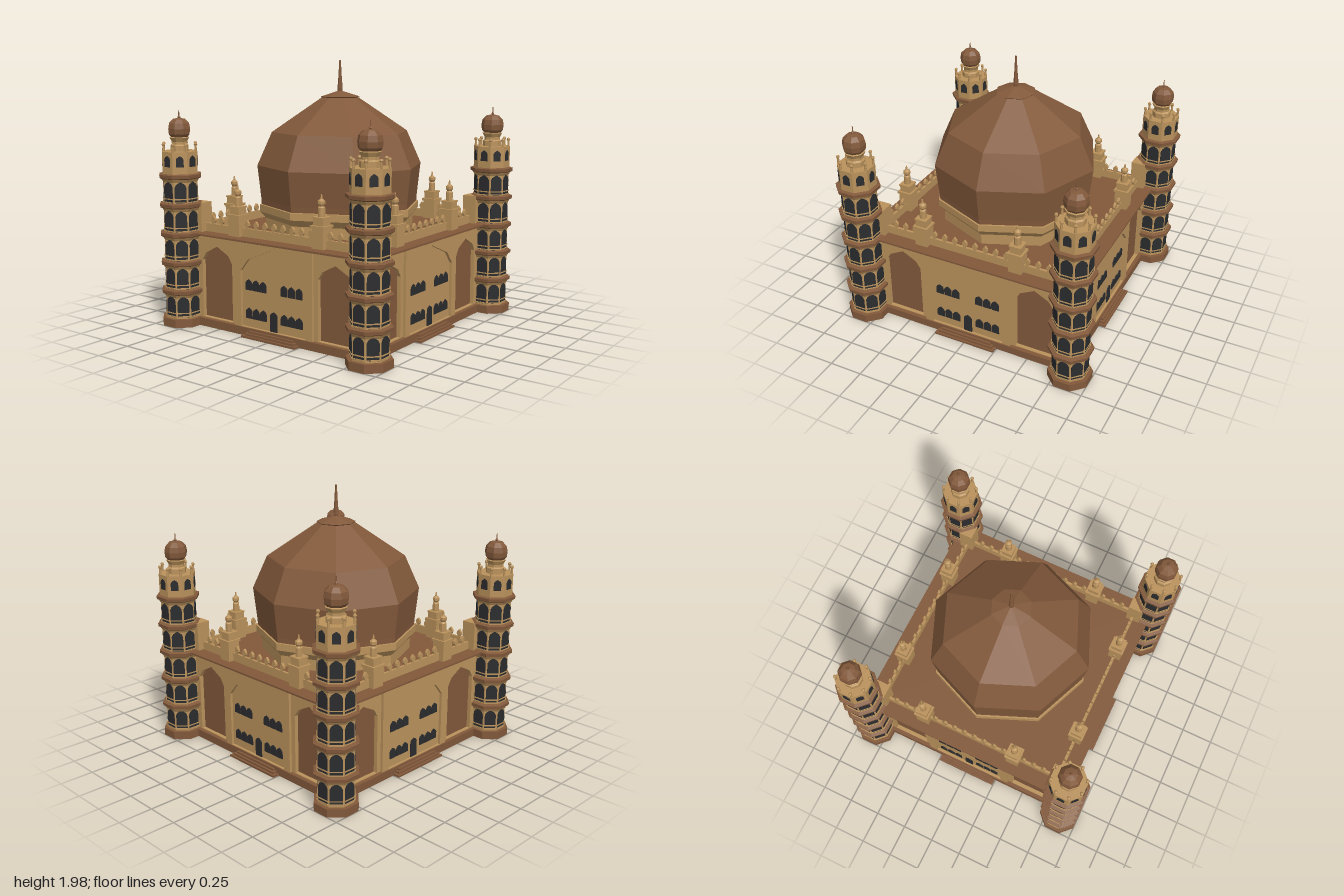
import * as THREE from 'three';

const mat = (name, color) => new THREE.MeshStandardMaterial({ name, color, flatShading: true });
const tan = mat('sandstone', 0xba925c);
const brown = mat('brownStone', 0x82593b);
const dark = mat('darkOpening', 0x2b2c2e);

function add(parent, name, geo, material, x = 0, y = 0, z = 0) {
  const m = new THREE.Mesh(geo, material);
  m.name = name;
  m.position.set(x, y, z);
  parent.add(m);
  return m;
}

// Box given by its base height and top height
function block(parent, name, material, w, y0, y1, d, x = 0, z = 0) {
  return add(parent, name, new THREE.BoxGeometry(w, y1 - y0, d), material, x, (y0 + y1) / 2, z);
}

// Eight-sided turned form; points are [apothem, y] with flats on the axes,
// or [radius, y] with corners on the axes
function octagon(points, flats = true) {
  const k = flats ? 1 / Math.cos(Math.PI / 8) : 1;
  const pts = points.map(([r, y]) => new THREE.Vector2(r * k, y));
  return new THREE.LatheGeometry(pts, 8, flats ? Math.PI / 8 : 0);
}

// Pointed arch outline: half width w, foot y0, spring ys, tip yt
function archPoints(cx, w, y0, ys, yt) {
  const ym = ys + (yt - ys) * 0.5;
  return [[-w, y0], [w, y0], [w, ys], [w * 0.75, ym], [0, yt], [-w * 0.75, ym], [-w, ys]]
    .map(([x, y]) => new THREE.Vector2(cx + x, y));
}
const extrude = (shape, depth) => new THREE.ExtrudeGeometry(shape, { depth, bevelEnabled: false });
const archPlate = (w, y0, ys, yt, d = 0.006) => extrude(new THREE.Shape(archPoints(0, w, y0, ys, yt)), d);

// Rectangular wall with arched holes
function archedWall(halfW, y0, y1, depth, arches) {
  const s = new THREE.Shape([[-halfW, y0], [halfW, y0], [halfW, y1], [-halfW, y1]]
    .map(([x, y]) => new THREE.Vector2(x, y)));
  arches.forEach(a => s.holes.push(new THREE.Path(archPoints(...a))));
  return extrude(s, depth);
}

function makeTower() {
  const t = new THREE.Group();
  t.name = 'cornerTower';
  const R = 0.15 / Math.cos(Math.PI / 8);
  const base = new THREE.CylinderGeometry(R, R, 0.06, 8).rotateY(Math.PI / 8);
  add(t, 'towerBase', base, [brown, brown, dark], 0, 0.03, 0);
  add(t, 'towerShaft', octagon([[0.123, 0.06], [0.123, 1.13], [0.128, 1.14], [0.128, 1.31], [0, 1.31]]), tan);

  // Five storeys of windows with railings and a projecting ledge
  const win = archPlate(0.043, 0.012, 0.13, 0.172);
  const rail = new THREE.BoxGeometry(0.1, 0.008, 0.012);
  const ledge = octagon([[0.122, -0.028], [0.15, -0.012], [0.152, 0.012], [0.122, 0.02]]);
  const corbel = octagon([[0.122, -0.045], [0.136, -0.02], [0.122, -0.018]]);
  for (let s = 0; s < 5; s++) {
    const y = 0.06 + s * 0.215;
    add(t, 'ledge', ledge, brown, 0, 0.263 + s * 0.2165, 0);
    add(t, 'corbel', corbel, tan, 0, 0.263 + s * 0.2165, 0);
    for (let f = 0; f < 8; f++) {
      const side = new THREE.Group();
      side.name = 'storeyFace';
      side.rotation.y = f * Math.PI / 4;
      add(side, 'towerWindow', win, dark, 0, y, 0.12);
      add(side, 'lowerRail', rail, tan, 0, y + 0.018, 0.124);
      add(side, 'upperRail', rail, tan, 0, y + 0.043, 0.124);
      t.add(side);
    }
  }

  // Top storey with small windows and corner posts
  const topWin = archPlate(0.028, 1.2, 1.255, 1.283);
  const post = new THREE.CylinderGeometry(0.008, 0.01, 0.06, 6);
  const ball = new THREE.SphereGeometry(0.014, 6, 4);
  for (let f = 0; f < 8; f++) {
    const a = f * Math.PI / 4;
    add(t, 'topWindow', topWin, dark, Math.sin(a) * 0.125, 0, Math.cos(a) * 0.125).rotation.y = a;
    const b = a + Math.PI / 8, x = Math.sin(b) * 0.126, z = Math.cos(b) * 0.126;
    add(t, 'cornerPost', post, tan, x, 1.33, z);
    add(t, 'postBall', ball, tan, x, 1.362, z);
  }
  add(t, 'neck', octagon([[0.066, 1.31], [0.066, 1.35], [0.055, 1.36], [0.055, 1.38], [0.07, 1.41], [0.05, 1.42]]), tan);
  add(t, 'towerDome', octagon([[0.05, 1.4], [0.075, 1.435], [0.079, 1.475], [0.072, 1.515], [0.045, 1.545], [0, 1.555]]), brown);
  add(t, 'towerFinial', new THREE.LatheGeometry([[0.01, 1.55], [0.012, 1.56], [0.005, 1.57], [0.003, 1.61], [0, 1.61]]
    .map(p => new THREE.Vector2(...p)), 6), brown);
  return t;
}

function makeTurret() {
  const g = new THREE.Group();
  g.name = 'parapetTurret';
  block(g, 'turretBase', tan, 0.1, 0.7, 0.85, 0.1);
  block(g, 'turretCap', tan, 0.116, 0.85, 0.868, 0.116);
  block(g, 'turretBlock', tan, 0.084, 0.868, 0.915, 0.084);
  block(g, 'turretTop', tan, 0.094, 0.915, 0.927, 0.094);
  add(g, 'turretPinnacle', octagon([[0.024, 0.927], [0.024, 0.99], [0.016, 1.0], [0.025, 1.015],
    [0.025, 1.035], [0.008, 1.05], [0.004, 1.08], [0, 1.08]]), tan);
  return g;
}

function makeSide() {
  const g = new THREE.Group();
  g.name = 'facade';
  add(g, 'wall', archedWall(0.8, 0.06, 0.7, 0.03,
    [-0.54, 0.54].map(x => [x, 0.147, 0.065, 0.5, 0.615])), tan, 0, 0, 0.77);
  add(g, 'centralBay', archedWall(0.356, 0.06, 0.698, 0.02, [[0, 0.293, 0.062, 0.475, 0.655]]), tan, 0, 0, 0.8);

  // Window trios and door
  const win = archPlate(0.03, 0, 0.05, 0.08);
  for (const sx of [-1, 1]) for (const y of [0.125, 0.335]) for (let i = -1; i <= 1; i++)
    add(g, 'window', win, dark, sx * 0.163 + i * 0.067, y, 0.8);
  add(g, 'door', archPlate(0.033, 0.06, 0.18, 0.207), dark, 0, 0, 0.8);

  // Steps
  for (let i = 0; i < 3; i++) {
    const d = 0.1 - i * 0.016;
    block(g, 'step', [brown, brown, brown, dark, brown, brown], 0.49 - i * 0.04, i * 0.015, (i + 1) * 0.015, d, 0, 0.78 + d / 2);
  }

  // Parapet, merlons and turrets
  block(g, 'parapet', tan, 1.48, 0.7, 0.77, 0.02, 0, 0.74);
  const merlon = extrude(new THREE.Shape([[-0.011, 0], [0.011, 0], [0.011, 0.01], [0.02, 0.022], [0.018, 0.04],
    [0, 0.062], [-0.018, 0.04], [-0.02, 0.022], [-0.011, 0.01]].map(p => new THREE.Vector2(...p))), 0.018);
  for (let i = 0; i < 16; i++) {
    const x = (i - 7.5) * 0.083;
    if (Math.abs(Math.abs(x) - 0.38) > 0.065) add(g, 'merlon', merlon, tan, x, 0.768, 0.731);
  }
  for (const sx of [-1, 1]) {
    const t = makeTurret();
    t.position.set(sx * 0.38, 0, 0.74);
    g.add(t);
  }
  block(g, 'cornerBlock', tan, 0.11, 0.7, 0.925, 0.11, 0.745, 0.745);
  return g;
}

export function createModel() {
  const model = new THREE.Group();
  model.name = 'domedMausoleum';

  // Plinth, core and roof slab
  block(model, 'plinth', [brown, brown, brown, dark, brown, brown], 1.66, 0, 0.06, 1.66);
  block(model, 'core', brown, 1.54, 0.06, 0.7, 1.54);
  block(model, 'roofCornice', brown, 1.73, 0.695, 0.708, 1.73);

  // Four matching sides and corner towers
  const tower = makeTower();
  for (let k = 0; k < 4; k++) {
    const side = makeSide();
    side.rotation.y = k * Math.PI / 2;
    model.add(side);
    const t = tower.clone();
    t.position.set(k % 2 ? 0.85 : -0.85, 0, k < 2 ? 0.85 : -0.85);
    model.add(t);
  }

  // Drum and great dome
  add(model, 'drum', octagon([[0.57, 0.7], [0.57, 0.79], [0.613, 0.84], [0.613, 0.893], [0.55, 0.895]], false), tan);
  add(model, 'domeCollar', octagon([[0.55, 0.893], [0.6, 0.895], [0.602, 0.935]], false), brown);
  add(model, 'greatDome', octagon([[0.602, 0.935], [0.63, 1.19], [0.518, 1.44], [0.14, 1.695],
    [0.148, 1.702], [0.02, 1.742], [0, 1.742]], false), brown);
  add(model, 'domeSpire', octagon([[0.018, 1.735], [0.02, 1.76], [0.013, 1.85], [0.006, 1.975], [0, 1.975]], false), brown);
  return model;
}
